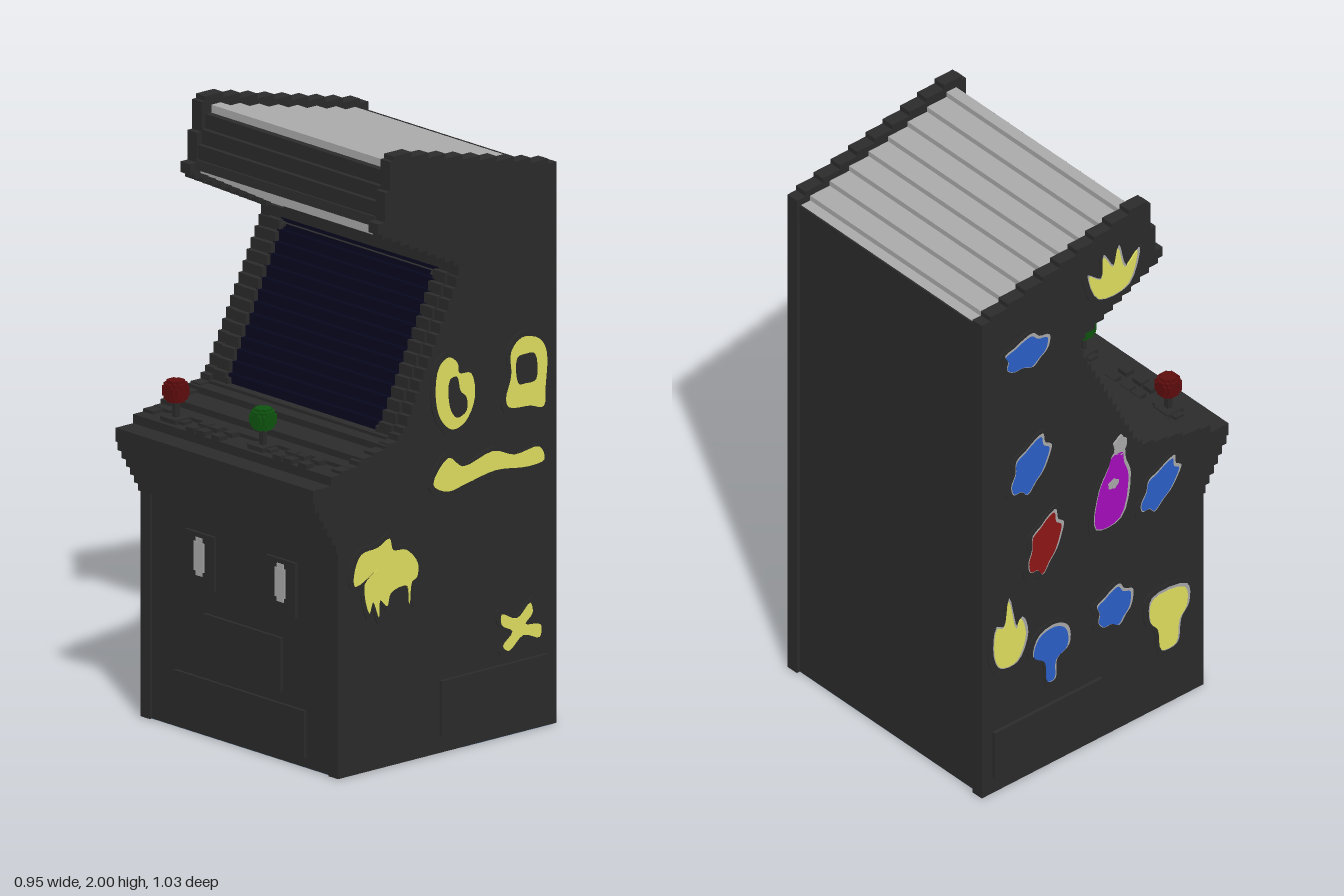
import * as THREE from 'three';

const mat = (name, color) => Object.assign(new THREE.MeshStandardMaterial({ color }), { name });

export function createModel() {
  const root = new THREE.Group();
  root.name = 'arcadeCabinet';
  const M = {
    body: mat('charcoal', 0x2b2b2b), grey: mat('panelGrey', 0xaaaaaa), screen: mat('screenNavy', 0x07071e),
    red: mat('red', 0x5e0c0c), green: mat('green', 0x0e540f), yellow: mat('yellow', 0xe0e060),
    blue: mat('blue', 0x2a60c8), purple: mat('purple', 0xa60cbe), floor: mat('floorBlue', 0x84a4c8),
    brightRed: mat('stickerRed', 0x901616),
  };
  const add = (name, geo, m, parent = root) => {
    const mesh = new THREE.Mesh(geo, m);
    mesh.name = name;
    parent.add(mesh);
    return mesh;
  };
  // box given by its min and max corners
  const box = (name, m, [x0, x1], [y0, y1], [z0, z1], parent) => {
    const mesh = add(name, new THREE.BoxGeometry(x1 - x0, y1 - y0, z1 - z0), m, parent);
    mesh.position.set((x0 + x1) / 2, (y0 + y1) / 2, (z0 + z1) / 2);
    return mesh;
  };
  // turns every sloped edge of a closed (z, y) outline into blocky steps
  const stairs = (pts, step = 0.018) => {
    const out = [];
    pts.forEach(([z, y], i) => {
      const [z2, y2] = pts[(i + 1) % pts.length];
      const dz = z2 - z, dy = y2 - y;
      out.push([z, y]);
      const n = Math.round(Math.min(Math.abs(dz), Math.abs(dy)) / step);
      for (let k = 0; k < n; k++) {
        const zm = z + dz * (k + 0.5) / n;
        out.push([zm, y + dy * k / n], [zm, y + dy * (k + 1) / n]);
      }
    });
    return out;
  };
  const toVec = pts => pts.map(([z, y]) => new THREE.Vector2(-z, y));
  // extrudes a (z, y) outline between x0 and x1
  const slab = (name, m, pts, x0, x1, hole) => {
    const shape = new THREE.Shape(toVec(pts));
    if (hole) shape.holes.push(new THREE.Path(toVec(hole)));
    const geo = new THREE.ExtrudeGeometry(shape, { depth: x1 - x0, bevelEnabled: false });
    geo.rotateY(Math.PI / 2).translate(x0, 0, 0);
    return add(name, geo, m);
  };

  // side panels with the cabinet silhouette
  const side = stairs([[0.41, 0.002], [0.41, 0.745], [0.515, 0.925], [0.515, 0.97], [0.44, 0.97], [0.44, 1.0],
    [0.355, 1.01], [0.165, 1.06], [0.125, 1.1], [-0.1, 1.55], [-0.1, 1.59], [0.24, 1.755], [0.24, 1.79], [0.22, 1.79],
    [0.18, 1.985], [0.17, 2], [0.135, 2], [-0.515, 1.845], [-0.515, 0.002]]);
  slab('leftSidePanel', M.body, side, 0.42, 0.465);
  slab('rightSidePanel', M.body, side, -0.465, -0.42);

  // recessed core, back lip, marquee and roof
  slab('core', M.body, stairs([[0.4, 0.002], [0.4, 0.8], [0.13, 0.8], [0.13, 1.03], [-0.16, 1.58], [-0.2, 1.58],
    [-0.2, 1.8], [-0.502, 1.8], [-0.502, 0.002]]), -0.42, 0.42);
  box('backLip', M.body, [-0.42, 0.42], [1.77, 1.822], [-0.505, -0.499]);
  slab('marqueeFront', M.body, stairs([[0.22, 1.77], [0.215, 1.8], [0.165, 1.942], [0.12, 1.942], [0.12, 1.77]]), -0.42, 0.42);
  slab('roof', M.grey, stairs([[0.15, 1.968], [-0.5, 1.82], [-0.5, 1.78], [0.15, 1.92]]), -0.42, 0.42);
  slab('marqueeUnderside', M.grey, stairs([[0.212, 1.77], [-0.12, 1.595], [-0.18, 1.595], [-0.18, 1.64], [0.12, 1.772]]), -0.42, 0.42);

  // screen and its stepped frame
  const slope = (y, off) => 0.145 - (y - 1.05) * 0.5 + off;
  const band = (y0, y1, off) => stairs([[slope(y0, off), y0], [slope(y1, off), y1], [slope(y1, off) - 0.05, y1],
    [slope(y0, off) - 0.05, y0]]);
  slab('screen', M.screen, band(1.06, 1.56, 0), -0.37, 0.37);
  for (const s of [-1, 1]) {
    slab('screenFrameSide', M.body, band(1.03, 1.59, 0.015), Math.min(s * 0.36, s * 0.42), Math.max(s * 0.36, s * 0.42));
    for (const [y0, y1] of [[1.06, 1.085], [1.535, 1.55]])
      slab('screenCorner', M.body, band(y0, y1, 0.012), Math.min(s * 0.347, s * 0.361), Math.max(s * 0.347, s * 0.361));
  }
  slab('screenFrameTop', M.body, band(1.548, 1.597, 0.015), -0.36, 0.36);
  slab('screenFrameBottom', M.body, band(1.03, 1.065, 0.015), -0.36, 0.36);

  // control panel across the full width
  slab('controlPanel', M.body, stairs([[0.41, 0.745], [0.515, 0.925], [0.515, 0.97], [0.44, 0.97], [0.44, 1.0],
    [0.355, 1.0], [0.355, 1.012], [0.16, 1.055], [0.12, 1.055], [0.12, 0.745]]), -0.465, 0.465);

  // joysticks with blocky knobs, and two rows of buttons each
  const knobSizes = [[0.07, 0.052, 0.03], [0.07, 0.03, 0.052], [0.052, 0.07, 0.03], [0.03, 0.07, 0.052],
    [0.052, 0.03, 0.07], [0.03, 0.052, 0.07], [0.054, 0.054, 0.054]];
  for (const [cx, m, name] of [[-0.32, M.red, 'red'], [0.09, M.green, 'green']]) {
    const g = new THREE.Group();
    g.name = name + 'Joystick';
    g.position.set(cx, 0, 0.39);
    root.add(g);
    box('stickBase', M.body, [-0.055, 0.055], [0.99, 1.01], [-0.018, 0.018], g);
    box('stickCollar', M.body, [-0.035, 0.035], [0.99, 1.015], [-0.033, 0.033], g);
    box('stickShaft', M.body, [-0.009, 0.009], [1, 1.08], [-0.009, 0.009], g);
    knobSizes.forEach(d => { add('knob', new THREE.BoxGeometry(...d), m, g).position.y = 1.1; });
    for (const dx of [0.12, 0.17, 0.24]) for (const dz of [-0.02, 0.033])
      box('button', M.body, [dx - 0.02, dx + 0.02], [0.99, 1.015], [dz - 0.017, dz + 0.017], g);
  }

  // front door panels and coin slots
  box('kickPanel', M.body, [-0.31, 0.305], [0.035, 0.19], [0.39, 0.41]);
  box('coinBoxDoor', M.body, [-0.17, 0.195], [0.23, 0.405], [0.39, 0.41]);
  for (const x of [-0.187, 0.195]) {
    box('coinPlate', M.body, [x - 0.068, x + 0.068], [0.485, 0.665], [0.39, 0.41]);
    box('coinSlot', M.grey, [x - 0.024, x + 0.024], [0.54, 0.635], [0.405, 0.414]);
    box('coinSlotTip', M.grey, [x - 0.015, x + 0.015], [0.525, 0.65], [0.405, 0.413]);
  }

  // low plates on both sides
  for (const s of [-1, 1])
    box('sidePlate', M.body, [s * 0.467 - 0.01, s * 0.467 + 0.01], [0.06, 0.24], [-0.47, -0.02]);

  // floor plate, leaving a dark strip at one front edge
  box('floor', M.floor, [-0.463, 0.405], [0, 0.0025], [-0.501, 0.398]);
  box('floorEdge', M.floor, [0.405, 0.463], [0, 0.0025], [-0.501, -0.12]);

  // rounds off an outline
  const smooth = pts => new THREE.CatmullRomCurve3(pts.map(([z, y]) => new THREE.Vector3(z, y, 0)), true)
    .getPoints(pts.length * 4).slice(0, -1).map(p => [p.x, p.y]);
  // widens an outline by a margin on each axis
  const grow = (pts, margin) => {
    const axes = [0, 1].map(a => {
      const v = pts.map(p => p[a]), lo = Math.min(...v), hi = Math.max(...v);
      return [(lo + hi) / 2, (hi - lo + 2 * margin) / (hi - lo)];
    });
    return pts.map(p => axes.map(([c, k], a) => c + (p[a] - c) * k));
  };

  // painted face and splats on the left side, each on a thin dark border
  const decal = (name, pts, hole) => {
    const outline = smooth(pts);
    slab(name + 'Border', M.body, grow(outline, 0.02), 0.465, 0.4685);
    slab(name, M.yellow, outline, 0.465, 0.4695, hole && smooth(hole));
  };
  decal('roundEye', [[-0.015, 1.27], [-0.055, 1.295], [-0.092, 1.27], [-0.1, 1.235], [-0.15, 1.225], [-0.165, 1.14],
    [-0.125, 1.07], [-0.07, 1.055], [-0.02, 1.1], [0, 1.18]],
  [[-0.06, 1.22], [-0.09, 1.225], [-0.105, 1.175], [-0.13, 1.15], [-0.13, 1.105], [-0.09, 1.09], [-0.06, 1.13]]);
  decal('squareEye', [[-0.32, 1.26], [-0.365, 1.298], [-0.44, 1.28], [-0.47, 1.23], [-0.465, 1.12], [-0.457, 1.055],
    [-0.4, 1.068], [-0.31, 1.08], [-0.298, 1.11], [-0.32, 1.18]],
  [[-0.345, 1.235], [-0.38, 1.242], [-0.42, 1.235], [-0.425, 1.15], [-0.38, 1.145], [-0.35, 1.15]]);
  decal('mouth', [[0.01, 0.89], [-0.055, 0.965], [-0.115, 0.925], [-0.245, 0.95], [-0.335, 0.92], [-0.44, 0.925],
    [-0.46, 0.88], [-0.39, 0.87], [-0.255, 0.885], [-0.125, 0.865], [-0.05, 0.855]]);
  decal('dripSplat', [[0.345, 0.66], [0.315, 0.72], [0.245, 0.73], [0.195, 0.75], [0.18, 0.71], [0.125, 0.7], [0.075, 0.645],
    [0.08, 0.6], [0.1, 0.59], [0.11, 0.52], [0.12, 0.58], [0.19, 0.57], [0.205, 0.53], [0.235, 0.555], [0.24, 0.5],
    [0.265, 0.555], [0.28, 0.52], [0.3, 0.62], [0.245, 0.66], [0.34, 0.62]]);
  decal('crossSplat', [[-0.28, 0.405], [-0.345, 0.38], [-0.4, 0.42], [-0.41, 0.385], [-0.38, 0.355], [-0.445, 0.34],
    [-0.44, 0.3], [-0.37, 0.32], [-0.31, 0.28], [-0.285, 0.3], [-0.325, 0.34], [-0.28, 0.37]]);

  // stickers on the right side: unit outlines, scaled, on grey backings with dark borders
  const art = {
    blob: Array.from({ length: 14 }, (_, i) => {
      const a = i / 14 * Math.PI * 2, r = 0.45 + 0.06 * Math.sin(i * 2.4);
      return [r * Math.cos(a), r * Math.sin(a)];
    }),
    crown: [[-0.3, -0.5], [0.3, -0.5], [0.5, 0.2], [0.25, -0.05], [0.1, 0.5], [0, 0.1], [-0.2, 0.45], [-0.25, -0.05], [-0.5, 0.15]],
    bottle: [[-0.45, -0.5], [0.35, -0.5], [0.5, 0.1], [0.28, 0.35], [0.2, 0.5], [-0.15, 0.5], [-0.25, 0.35], [-0.5, 0.05]],
    flame: [[-0.3, -0.48], [0.2, -0.5], [0.5, -0.15], [0.35, 0.12], [0.2, 0], [-0.05, 0.5], [-0.2, 0.12], [-0.42, 0.15], [-0.5, -0.25]],
    cup: [[-0.2, -0.5], [0.2, -0.5], [0.3, -0.1], [0.5, 0.1], [0.45, 0.45], [-0.45, 0.5], [-0.5, 0.1], [-0.3, -0.1]],
    drop: [[-0.1, -0.5], [0.1, -0.5], [0.15, -0.15], [0.48, 0], [0.45, 0.35], [0.1, 0.5], [-0.35, 0.42], [-0.5, 0.1], [-0.18, -0.1]],
  };
  // kind, colour, z, y, width, height, lean
  [['crown', 'yellow', 0.03, 1.8, 0.2, 0.16, 0], ['blob', 'blue', -0.33, 1.65, 0.19, 0.12, 0],
    ['blob', 'blue', -0.316, 1.2, 0.15, 0.2, 0.06], ['bottle', 'purple', 0.03, 0.95, 0.12, 0.25, 0.03],
    ['blob', 'blue', 0.225, 0.866, 0.14, 0.17, 0.08], ['blob', 'brightRed', -0.255, 0.87, 0.13, 0.22, 0.05],
    ['flame', 'yellow', -0.4, 0.597, 0.13, 0.25, 0], ['blob', 'blue', 0.035, 0.485, 0.15, 0.15, 0],
    ['cup', 'yellow', 0.262, 0.33, 0.15, 0.21, 0], ['drop', 'blue', -0.23, 0.43, 0.14, 0.2, 0],
  ].forEach(([kind, color, z, y, w, h, tilt]) => {
    const outline = smooth(art[kind].map(([a, b]) => [z + a * w + b * tilt, y + b * h]));
    const backing = grow(outline, 0.007).map(([pz, py]) => [pz + 0.004, py + 0.003]);
    slab('stickerBorder', M.body, grow(outline, 0.025), -0.468, -0.465);
    slab('stickerBacking', M.grey, backing, -0.469, -0.465);
    slab('sticker', M[color], outline, -0.47, -0.465);
  });
  // bottle cap and label
  const spot = (z, y, w, h) => smooth(art.blob.map(([a, b]) => [z + a * w, y + b * h]));
  slab('bottleCap', M.grey, spot(0.06, 1.105, 0.06, 0.08), -0.47, -0.465);
  slab('bottleLabel', M.grey, spot(0.03, 0.97, 0.05, 0.04), -0.471, -0.465);
  return root;
}
